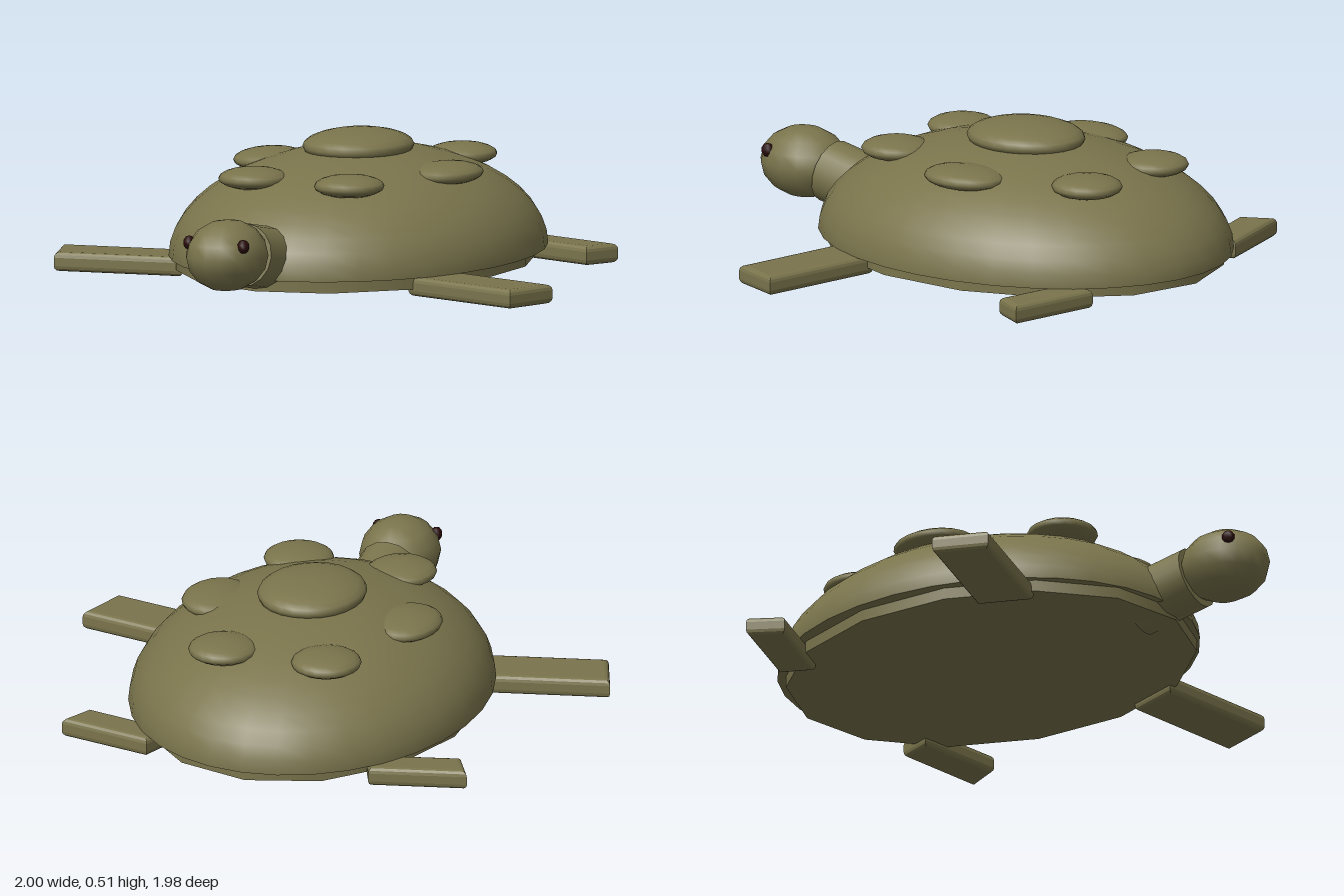
import * as THREE from 'three';

export function createModel() {
  const model = new THREE.Group();
  model.name = 'turtle';
  const olive = new THREE.MeshStandardMaterial({ color: 0x7a744c });
  olive.name = 'olive skin';
  const dark = new THREE.MeshStandardMaterial({ color: 0x2a0a0a });
  dark.name = 'dark eye';

  const add = (name, geometry, material = olive) => {
    const mesh = new THREE.Mesh(geometry, material);
    mesh.name = name;
    model.add(mesh);
    return mesh;
  };
  const ellipsoid = (name, [x, y, z], [rx, ry, rz], material = olive, segs = 16) =>
    add(name, new THREE.SphereGeometry(1, segs, segs / 2).scale(rx, ry, rz).translate(x, y, z), material);

  // Domed shell with a closed rim
  const mid = -0.187;
  add('shell', new THREE.SphereGeometry(1, 32, 12, 0, Math.PI * 2, 0, Math.PI / 2)
    .scale(0.645, 0.38, 0.805).translate(0, 0.07, mid));
  add('shellRim', new THREE.CircleGeometry(1, 32).rotateX(Math.PI / 2)
    .scale(0.645, 1, 0.805).translate(0, 0.07, mid));

  // Belly plate
  add('belly', new THREE.CylinderGeometry(1, 1, 0.05, 14)
    .scale(0.61, 1, 0.785).translate(0, 0.052, -0.175));

  // Raised scutes on the shell
  ellipsoid('topScute', [0, 0.45, mid], [0.195, 0.06, 0.225], olive, 24);
  for (const s of [1, -1]) {
    ellipsoid('sideScute', [s * 0.36, 0.375, mid], [0.125, 0.04, 0.16], olive, 20);
    ellipsoid('frontScute', [s * 0.195, 0.375, 0.25], [0.127, 0.04, 0.13], olive, 20);
    ellipsoid('rearScute', [s * 0.195, 0.375, -0.615], [0.127, 0.04, 0.13], olive, 20);
  }

  // Head, neck and eyes
  ellipsoid('head', [0, 0.188, 0.82], [0.145, 0.13, 0.17]);
  const neck = add('neck', new THREE.CylinderGeometry(0.115, 0.115, 0.25, 16));
  neck.rotation.x = Math.PI / 2 - 0.2;
  neck.position.set(0, 0.147, 0.575);
  for (const s of [1, -1]) ellipsoid('eye', [s * 0.11, 0.238, 0.903], [0.022, 0.026, 0.025], dark, 10);

  // Flippers: slanted slabs with rounded edges, outlined in x and z
  const flipper = (name, corners, s) => {
    const shape = new THREE.Shape(corners.map(([x, z]) => new THREE.Vector2(s * x, z)));
    const r = 0.02;
    add(name, new THREE.ExtrudeGeometry(shape, {
      depth: 0.07 - 2 * r, bevelThickness: r, bevelSize: r, bevelOffset: -r, bevelSegments: 3,
    }).rotateX(Math.PI / 2).translate(0, 0.07 - r, 0));
  };
  for (const s of [1, -1]) {
    flipper('frontFlipper', [[0.53, 0.1], [1.0, 0.205], [0.93, 0.4], [0.46, 0.295]], s);
    flipper('rearFlipper', [[0.42, -0.815], [0.768, -0.735], [0.705, -0.61], [0.37, -0.69]], s);
  }
  return model;
}
